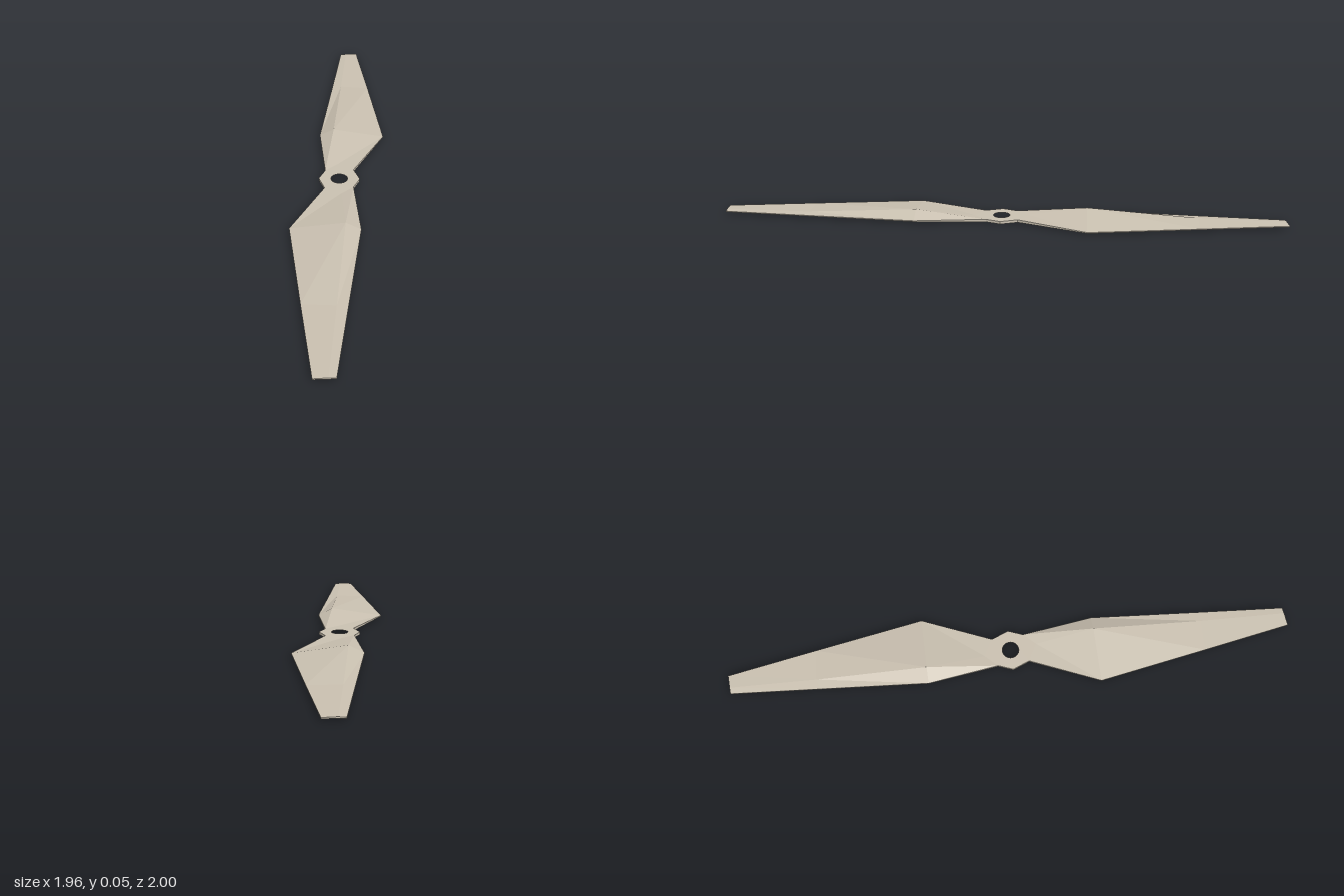
import * as THREE from 'three';

const material = new THREE.MeshStandardMaterial({ color: 0xc9c0b0, flatShading: true });

// Cross-sections from root to tip, each a loop of [x, y, z]:
// leading top, ridge, trailing top, trailing bottom, keel, leading bottom.
const sections = [
  [[0.10, 0.017, 0.00], [0.10, 0.017, 0.08], [0.01, 0.017, 0.105],
    [0.01, 0.004, 0.105], [0.10, 0.004, 0.08], [0.10, 0.004, 0.00]],
  [[0.37, 0.015, 0.21], [0.32, 0.05, 0.26], [0.14, 0.013, 0.44],
    [0.14, 0.008, 0.44], [0.24, 0.0, 0.32], [0.37, 0.010, 0.21]],
  [[0.705, 0.014, 0.606], [0.68, 0.018, 0.65], [0.57, 0.014, 0.75],
    [0.57, 0.010, 0.75], [0.64, 0.009, 0.68], [0.705, 0.010, 0.606]],
  [[0.98, 0.014, 0.93], [0.96, 0.017, 0.953], [0.92, 0.015, 1.0],
    [0.92, 0.010, 1.0], [0.95, 0.010, 0.965], [0.98, 0.010, 0.93]],
];

// Skins the loops with quads and closes the tip.
function bladeGeometry() {
  const n = sections[0].length;
  const index = [];
  for (let i = 0; i < sections.length - 1; i++) {
    for (let j = 0; j < n; j++) {
      const k = (j + 1) % n;
      const a = i * n + j, b = i * n + k, c = b + n, d = a + n;
      index.push(a, b, c, a, c, d);
    }
  }
  const tip = (sections.length - 1) * n;
  for (let j = 1; j < n - 1; j++) index.push(tip, tip + j, tip + j + 1);

  const geometry = new THREE.BufferGeometry();
  geometry.setAttribute('position', new THREE.Float32BufferAttribute(sections.flat(2), 3));
  geometry.setIndex(index);
  const faceted = geometry.toNonIndexed();
  faceted.computeVertexNormals();
  return faceted;
}

// Flat hub plate with a round shaft hole.
function hubGeometry() {
  const half = [[0.07, -0.07], [0.10, 0.0], [0.10, 0.08], [0.01, 0.105]];
  const outline = [...half, ...half.map(([x, z]) => [-x, -z])];
  const shape = new THREE.Shape(outline.map(([x, z]) => new THREE.Vector2(x, -z)));
  const hole = new THREE.Path();
  hole.absarc(0, 0, 0.04, 0, Math.PI * 2, true);
  shape.holes.push(hole);
  const geometry = new THREE.ExtrudeGeometry(shape, { depth: 0.013, bevelEnabled: false, curveSegments: 10 });
  return geometry.rotateX(-Math.PI / 2).translate(0, 0.004, 0);
}

export function createModel() {
  const group = new THREE.Group();
  group.name = 'propeller';

  const hub = new THREE.Mesh(hubGeometry(), material);
  hub.name = 'hub';
  group.add(hub);

  // Two identical blades, half a turn apart
  const geometry = bladeGeometry();
  ['frontBlade', 'backBlade'].forEach((name, i) => {
    const blade = new THREE.Mesh(geometry, material);
    blade.name = name;
    blade.rotation.y = i * Math.PI;
    group.add(blade);
  });
  return group;
}
